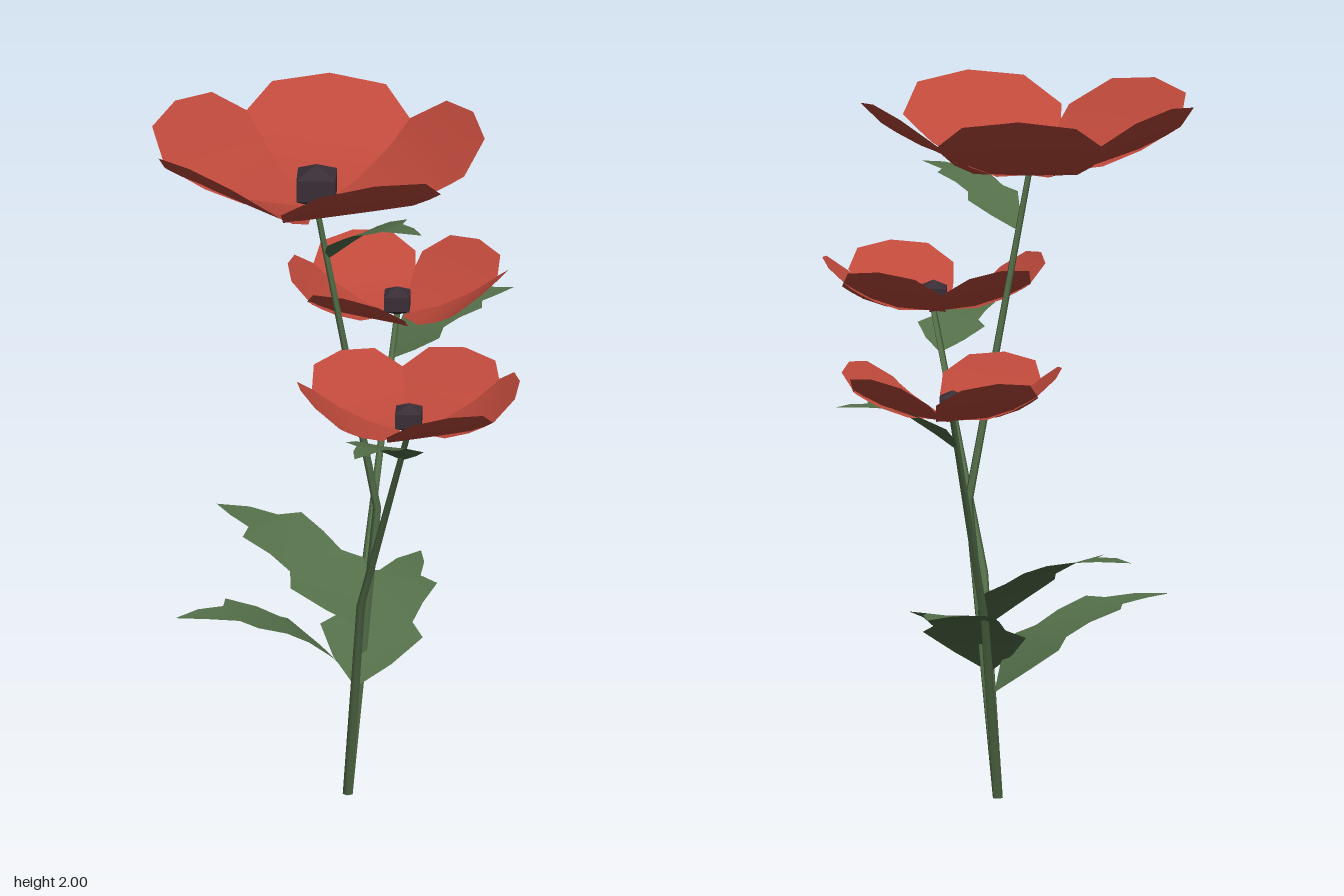
import * as THREE from 'three';

const green = new THREE.MeshStandardMaterial({ color: 0x55704a, side: THREE.DoubleSide });
const red = new THREE.MeshStandardMaterial({ color: 0xbe493b, side: THREE.DoubleSide });
const dark = new THREE.MeshStandardMaterial({ color: 0x3a2e36, flatShading: true });
green.name = 'leaf green';
red.name = 'petal red';
dark.name = 'seed dark';

// Sheet of rows x cols points, given by a rule
function sheet(rows, cols, point) {
  const pos = [], idx = [];
  for (let i = 0; i < rows; i++) {
    for (let j = 0; j < cols; j++) {
      pos.push(...point(i, j));
      if (i && j) {
        const d = i * cols + j, c = d - 1, b = d - cols, a = b - 1;
        idx.push(a, c, b, b, c, d);
      }
    }
  }
  const g = new THREE.BufferGeometry();
  g.setAttribute('position', new THREE.Float32BufferAttribute(pos, 3));
  g.setIndex(idx);
  g.computeVertexNormals();
  return g;
}

function add(parent, name, geometry, material) {
  const m = new THREE.Mesh(geometry, material);
  m.name = name;
  parent.add(m);
  return m;
}

// Petal: [reach, half width, setback of the corners], curling up along its length
const PETAL = [[0.035, 0.025, 0], [0.155, 0.145, 0.005], [0.28, 0.195, 0.03], [0.385, 0.222, 0.07], [0.467, 0.24, 0.112]];
const ACROSS = [-1, -0.67, 0, 0.67, 1];
const petalGeometry = sheet(PETAL.length, ACROSS.length, (i, j) => {
  const [reach, width, back] = PETAL[i], t = ACROSS[j];
  const x = reach - back * t ** 4;
  return [x, 0.225 * (x / 0.467) ** 2, width * t];
});

// Four-sided seed head
const seedGeometry = new THREE.SphereGeometry(0.08, 4, 3);
seedGeometry.scale(1.12, 0.8, 1.12);

function flower(center, angles, scale) {
  const g = new THREE.Group();
  g.name = 'flower';
  g.position.set(...center);
  g.scale.setScalar(scale);
  for (const a of angles) add(g, 'petal', petalGeometry, red).rotation.y = THREE.MathUtils.degToRad(a);
  add(g, 'seedHead', seedGeometry, dark).position.y = 0.063;
  return g;
}

// Stem: tapered five-sided tube with one bend
function stemGeometry(points) {
  const radii = [0.015, 0.0125, 0.009];
  return sheet(3, 6, (i, j) => {
    const a = -j / 5 * Math.PI * 2, [x, y, z] = points[i];
    return [x + radii[i] * Math.cos(a), y, z + radii[i] * Math.sin(a)];
  });
}

// Leaf: toothed outline [along, half width / length], arching from base to tip
const LEAF = [[0, 0.01], [0.1, 0.17], [0.24, 0.3], [0.32, 0.21], [0.45, 0.22], [0.62, 0.24], [0.68, 0.12], [0.84, 0.08], [1, 0]];
function leafGeometry(base, tip) {
  const [dx, dy, dz] = tip.map((v, k) => v - base[k]);
  const run = Math.hypot(dx, dz);
  return sheet(LEAF.length, 3, (i, j) => {
    const [s, w] = LEAF[i], side = (j - 1) * w;
    return [
      base[0] + dx * s - dz * side,
      base[1] + dy * (1 - (1 - s) ** 2.6) + Math.abs(j - 1) * w * run * 0.05,
      base[2] + dz * s + dx * side,
    ];
  });
}

const ROOT = [-0.15, 0, -0.075];
const PLANTS = [
  { // tall centre poppy
    bend: [-0.07, 0.85, -0.04], top: [-0.23, 1.775, -0.118], scale: 1, angles: [337, 43, 106, 177, 248],
    leaves: [[[-0.2, 1.62, -0.095], [-0.17, 1.775, 0.255]], [[-0.1, 0.49, -0.07], [-0.17, 0.73, -0.6]]],
  },
  { // front poppy
    bend: [-0.22, 0.62, 0.055], top: [-0.4, 1.3, 0.45], scale: 0.67, angles: [249, 318, 17, 85, 151],
    leaves: [[[-0.37, 1.19, 0.39], [-0.68, 1.31, 0.53]], [[-0.18, 0.35, -0.01], [0.28, 0.575, -0.24]]],
  },
  { // back poppy
    bend: [0, 0.53, -0.18], top: [0.4, 1.19, -0.47], scale: 0.66, angles: [-63, -1, 71, 135, 198],
    leaves: [[[0.335, 1.09, -0.42], [0.7, 1.24, -0.31]], [[-0.08, 0.32, -0.14], [-0.575, 0.565, -0.33]]],
  },
];

export function createModel() {
  const model = new THREE.Group();
  model.name = 'flowers';
  for (const { bend, top, scale, angles, leaves } of PLANTS) {
    const plant = new THREE.Group();
    plant.name = 'plant';
    add(plant, 'stem', stemGeometry([ROOT, bend, top]), green);
    for (const [base, tip] of leaves) add(plant, 'leaf', leafGeometry(base, tip), green);
    plant.add(flower(top, angles, scale));
    model.add(plant);
  }
  return model;
}
